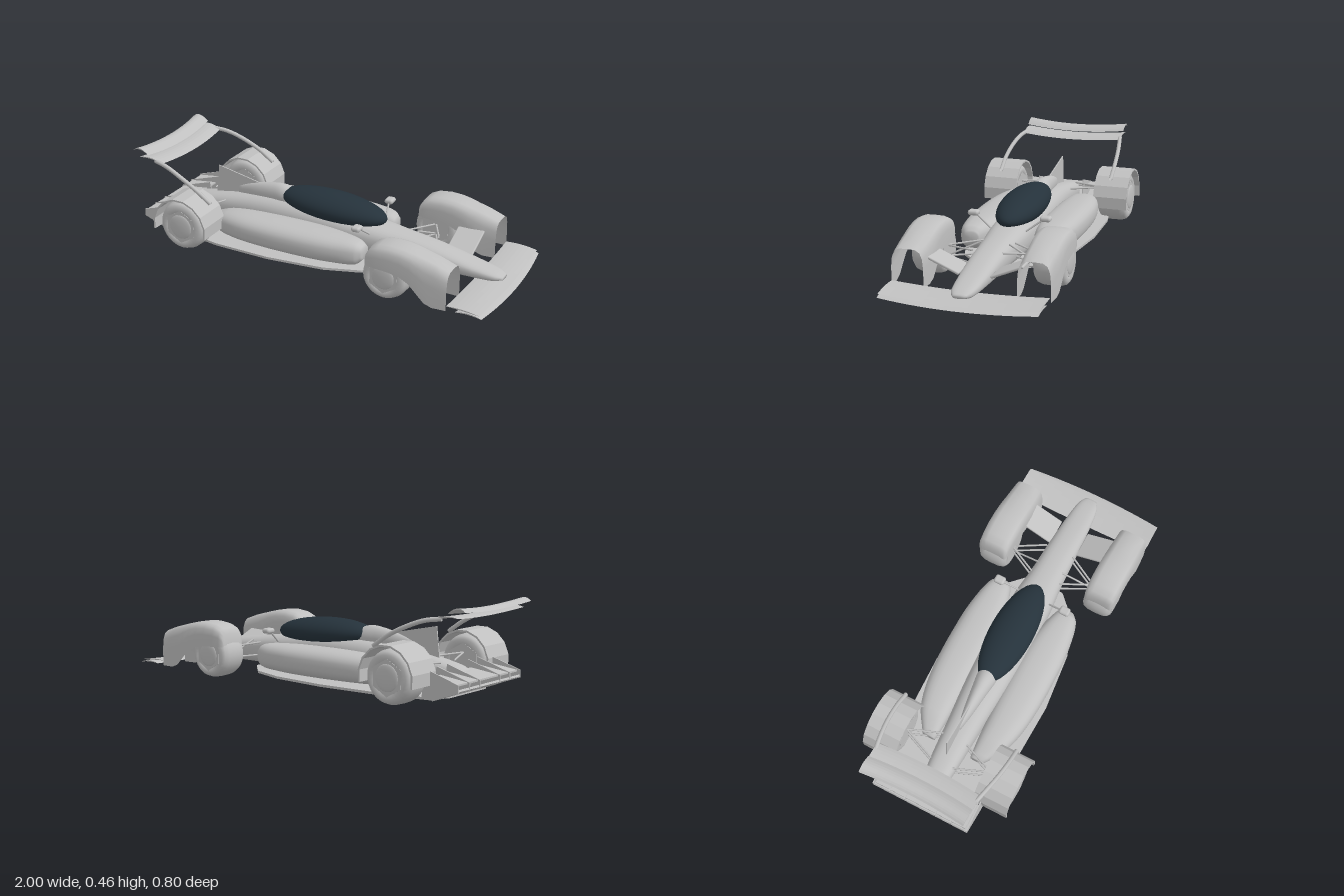
import * as THREE from 'three';
import { RoundedBoxGeometry } from 'three/addons/geometries/RoundedBoxGeometry.js';

const paint = new THREE.MeshStandardMaterial({ color: 0xc0c0c0, side: THREE.DoubleSide });
paint.name = 'light grey paint';
const glass = new THREE.MeshStandardMaterial({ color: 0x25323b });
glass.name = 'dark canopy glass';

const V = (x, y, z) => new THREE.Vector3(x, y, z);

export function createModel() {
  const car = new THREE.Group();
  const add = (name, geo, mat = paint) => {
    const m = new THREE.Mesh(geo, mat);
    m.name = name;
    car.add(m);
    return m;
  };

  // Skin over rings of points, ordered along +x
  const skin = (rings, closed) => {
    const n = rings[0].length, idx = [];
    for (let i = 0; i < rings.length - 1; i++) {
      for (let j = 0; j < (closed ? n : n - 1); j++) {
        const k = (j + 1) % n, a = i * n + j, b = a + n, c = i * n + k, d = c + n;
        idx.push(a, b, c, b, d, c);
      }
    }
    const g = new THREE.BufferGeometry().setFromPoints(rings.flat());
    g.setIndex(idx);
    g.computeVertexNormals();
    return g;
  };

  // Rounded body from sections [x, bottom, top, zInner, zOuter], smoothed and closed at both ends
  const hull = (sections, power = 2.6) => {
    const rows = [];
    sections.forEach((s, i) => {
      const next = sections[i + 1];
      const p0 = sections[Math.max(i - 1, 0)], p3 = sections[Math.min(i + 2, sections.length - 1)];
      for (let k = 0; k < (next ? 4 : 1); k++) {
        const t = k / 4;
        rows.push(s.map((v, c) => {
          if (!next) return v;
          if (c === 0) return v + (next[0] - v) * t;
          const m = (a, d) => (d[c] - a[c]) / (d[0] - a[0]) * (next[0] - s[0]);
          const m0 = m(p0, next), m1 = m(s, p3), t2 = t * t, t3 = t2 * t;
          return (2 * t3 - 3 * t2 + 1) * v + (t3 - 2 * t2 + t) * m0 + (3 * t2 - 2 * t3) * next[c] + (t3 - t2) * m1;
        }));
      }
    });
    const ring = ([x, b, t, zi, zo], f = 1) => Array.from({ length: 28 }, (_, j) => {
      const a = j / 28 * Math.PI * 2, e = 2 / power;
      const q = v => Math.sign(v) * Math.abs(v) ** e * f / 2;
      return V(x, (b + t) / 2 + q(Math.sin(a)) * (t - b), (zi + zo) / 2 + q(Math.cos(a)) * (zo - zi));
    });
    return skin([ring(rows[0], 0), ...rows.map(r => ring(r)), ring(rows.at(-1), 0)], true);
  };
  const centred = rows => rows.map(([x, b, t, w]) => [x, b, t, -w, w]);

  // Shape in x,y given thickness in z
  const extrudeZ = (shape, z, depth, steps = 1) =>
    new THREE.ExtrudeGeometry(shape, { depth, steps, bevelEnabled: false, curveSegments: 8 })
      .translate(0, 0, z - depth / 2);
  const plateZ = (pts, z, depth) =>
    extrudeZ(new THREE.Shape(pts.map(p => new THREE.Vector2(...p))), z, depth);

  // Cambered wing bent along its span: tips raised and swept
  const wing = (lead, ctrl, trail, span, lift, sweep) => {
    const s = new THREE.Shape(), t = 0.006;
    s.moveTo(...lead);
    s.quadraticCurveTo(ctrl[0], ctrl[1] + t, ...trail);
    s.quadraticCurveTo(ctrl[0], ctrl[1] - t, ...lead);
    const g = extrudeZ(s, 0, span, 14), p = g.attributes.position;
    for (let i = 0; i < p.count; i++) {
      const u = (p.getZ(i) / (span / 2)) ** 2;
      p.setXY(i, p.getX(i) + sweep * u, p.getY(i) + lift * u);
    }
    g.computeVertexNormals();
    return g;
  };

  const rod = (name, a, b) =>
    add(name, new THREE.TubeGeometry(new THREE.LineCurve3(a, b), 1, 0.005, 6));

  // Fuselage, airbox, fin and canopy
  add('fuselage', hull(centred([
    [-0.84, 0.06, 0.13, 0.045], [-0.78, 0.05, 0.155, 0.065], [-0.5, 0.04, 0.205, 0.085],
    [-0.25, 0.04, 0.23, 0.105], [0, 0.04, 0.23, 0.112], [0.25, 0.04, 0.205, 0.105],
    [0.4, 0.04, 0.185, 0.09], [0.6, 0.04, 0.155, 0.08], [0.8, 0.042, 0.11, 0.067],
    [0.9, 0.045, 0.087, 0.052], [0.94, 0.055, 0.072, 0.03]])));
  add('airbox', hull(centred([
    [-0.54, 0.18, 0.235, 0.008], [-0.45, 0.18, 0.268, 0.025], [-0.32, 0.18, 0.294, 0.042],
    [-0.26, 0.18, 0.294, 0.05], [-0.18, 0.19, 0.27, 0.05]]), 2));
  add('tailFin', plateZ([[-0.66, 0.325], [-0.3, 0.25], [-0.3, 0.18], [-0.68, 0.15]], 0, 0.006));
  add('canopy', new THREE.SphereGeometry(1, 36, 20).rotateZ(Math.PI / 2)
    .scale(0.295, 0.076, 0.111).rotateZ(-0.05).translate(0.015, 0.236, 0), glass);

  // Flat floor
  const half = [[0.4, 0.1], [0.28, 0.22], [0.1, 0.28], [-0.2, 0.31], [-0.5, 0.3], [-0.78, 0.25], [-0.84, 0.15]];
  const edge = [...half, ...half.map(([x, z]) => [x, -z]).reverse()];
  add('floor', plateZ(edge, 0, 0.012).rotateX(Math.PI / 2).translate(0, 0.031, 0));

  // Wings
  add('frontWingMain', wing([1, 0.017], [0.94, 0.037], [0.87, 0.022], 0.76, 0.012, -0.025));
  add('frontWingFlap', wing([0.965, 0.03], [0.88, 0.043], [0.8, 0.04], 0.76, 0.014, 0));
  add('rearWingMain', wing([-0.81, 0.387], [-0.87, 0.415], [-0.945, 0.4], 0.555, 0.013, -0.018));
  add('rearWingFlap', wing([-0.89, 0.416], [-0.945, 0.46], [-0.982, 0.428], 0.555, 0.016, -0.018));

  // Diffuser
  add('diffuserRamp', plateZ([[-0.82, 0.025], [-0.8, 0.035], [-0.955, 0.092], [-0.96, 0.083]], 0, 0.52));
  add('diffuserShelf', plateZ([[-0.8, 0.125], [-0.8, 0.133], [-0.95, 0.115], [-0.95, 0.107]], 0, 0.5));
  for (const z of [-0.26, -0.17, -0.085, 0.085, 0.17, 0.26])
    add('diffuserFin', plateZ([[-0.78, 0.17], [-0.96, 0.115], [-0.96, 0.078], [-0.82, 0.028], [-0.76, 0.03]], z, 0.006));

  // Wheel with rounded tyre and six-sided rim
  const wheel = (name, x, r, z, w) => {
    const prof = [[0.55, -0.8], [0.6, -1], [0.8, -1], [0.92, -0.85], [0.985, -0.55], [1, 0],
      [0.985, 0.55], [0.92, 0.85], [0.8, 1], [0.6, 1], [0.55, 0.8]];
    const tyre = new THREE.LatheGeometry(prof.map(([a, b]) => new THREE.Vector2(a * r, b * w)), 32);
    add(name + 'Tyre', tyre.rotateX(Math.PI / 2).translate(x, r, z));
    const rim = new THREE.CylinderGeometry(r * 0.68, r * 0.68, w * 2.03, 6).toNonIndexed();
    rim.computeVertexNormals();
    add(name + 'Rim', rim.rotateX(Math.PI / 2).translate(x, r, z));
    add(name + 'Hub', new THREE.SphereGeometry(r * 0.5, 20, 10).scale(1, 1, 0.15)
      .translate(x, r, z + Math.sign(z) * w));
  };

  for (const s of [1, -1]) {
    // Sidepod
    add('sidepod', hull([
      [-0.62, 0.07, 0.12, 0.1, 0.17], [-0.5, 0.05, 0.17, 0.09, 0.245], [-0.3, 0.045, 0.188, 0.08, 0.285],
      [0, 0.045, 0.19, 0.08, 0.29], [0.15, 0.05, 0.185, 0.1, 0.275], [0.25, 0.06, 0.175, 0.13, 0.25],
      [0.285, 0.09, 0.15, 0.15, 0.22]].map(([x, b, t, i, o]) => s > 0 ? [x, b, t, i, o] : [x, b, t, -o, -i])));

    wheel('frontWheel', 0.475, 0.118, s * 0.302, 0.076);
    wheel('rearWheel', -0.655, 0.13, s * 0.308, 0.076);

    // Front fender: open arch, sections [x, bottom, top, zInner, zOuter]
    const arch = [[0, 0], [0, 0.5], [0.03, 0.75], [0.1, 0.91], [0.24, 0.99], [0.5, 1],
      [0.76, 0.99], [0.9, 0.91], [0.97, 0.75], [1, 0.5], [1, 0]];
    add('frontFender', skin([
      [0.375, 0.165, 0.172, 0.24, 0.37], [0.38, 0.165, 0.225, 0.23, 0.38], [0.4, 0.165, 0.255, 0.225, 0.385],
      [0.44, 0.163, 0.273, 0.222, 0.388], [0.5, 0.16, 0.28, 0.22, 0.39], [0.56, 0.15, 0.277, 0.22, 0.39],
      [0.61, 0.125, 0.268, 0.22, 0.39], [0.65, 0.085, 0.258, 0.22, 0.39], [0.69, 0.045, 0.248, 0.22, 0.389],
      [0.73, 0.03, 0.237, 0.222, 0.387], [0.8, 0.03, 0.212, 0.225, 0.383]].map(([x, b, t, i, o]) =>
      arch.map(([u, v]) => V(x, b + (t - b) * v, s * (o + (i - o) * u)))), false));

    // Rear fender: faceted band over the tyre
    const band = [];
    for (const [r, dir] of [[0.156, 1], [0.147, -1]])
      for (let i = 0; i <= 9; i++) {
        const a = (-12 + (dir > 0 ? i : 9 - i) * 204 / 9) * Math.PI / 180;
        band.push([-0.655 + r * Math.cos(a), 0.128 + r * Math.sin(a)]);
      }
    add('rearFender', plateZ(band, s * 0.309, 0.182));

    // Rear wing pillar
    add('rearWingPillar', new THREE.TubeGeometry(new THREE.CatmullRomCurve3([
      V(-0.52, 0.255, s * 0.308), V(-0.6, 0.31, s * 0.308), V(-0.7, 0.36, s * 0.3),
      V(-0.79, 0.393, s * 0.285), V(-0.87, 0.405, s * 0.268)]), 20, 0.011, 8));

    // Vane between nose and front fender
    const vane = add('noseVane', new RoundedBoxGeometry(0.14, 0.014, 0.17, 2, 0.006));
    vane.position.set(0.67, 0.128, s * 0.155);
    vane.rotation.x = -s * 0.4;

    // Mirror
    add('mirror', new RoundedBoxGeometry(0.045, 0.026, 0.055, 3, 0.012)).position.set(0.24, 0.241, s * 0.185);
    rod('mirrorStalk', V(0.24, 0.235, s * 0.17), V(0.26, 0.175, s * 0.09));

    // Suspension arms
    for (const d of [-1, 1]) {
      rod('frontUpperArm', V(0.475, 0.14, s * 0.235), V(0.475 + d * 0.085, 0.155, s * 0.075));
      rod('frontLowerArm', V(0.475, 0.085, s * 0.235), V(0.475 + d * 0.085, 0.09, s * 0.075));
      rod('rearUpperArm', V(-0.655, 0.17, s * 0.235), V(-0.655 + d * 0.07, 0.165, s * 0.06));
      rod('rearLowerArm', V(-0.655, 0.09, s * 0.235), V(-0.655 + d * 0.07, 0.09, s * 0.06));
    }
    rod('frontPushrod', V(0.475, 0.09, s * 0.23), V(0.45, 0.165, s * 0.07));
  }
  return car;
}
